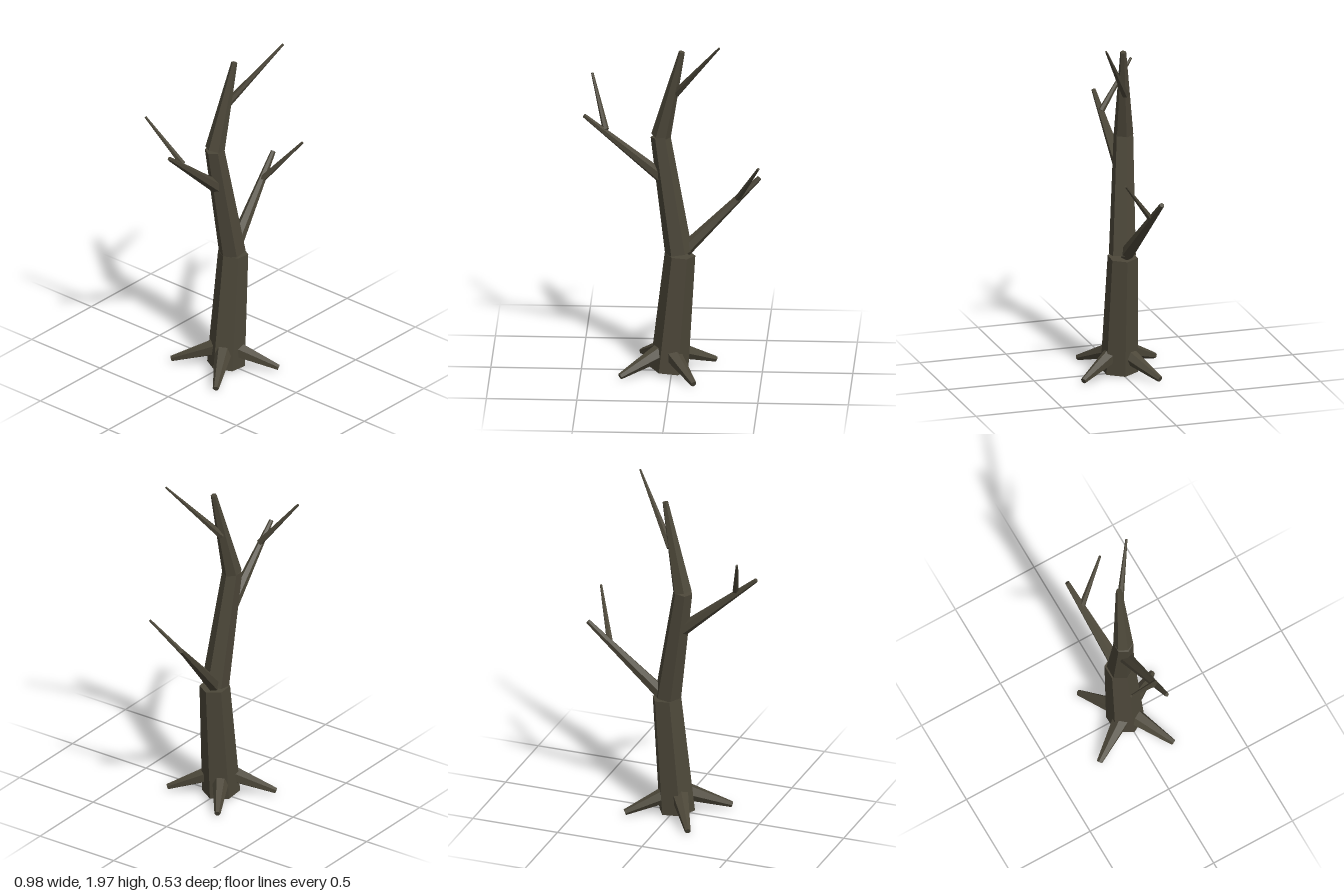
import * as THREE from 'three';

const UP = new THREE.Vector3(0, 1, 0);

export function createModel() {
  const tree = new THREE.Group();
  tree.name = 'bareTree';
  const bark = new THREE.MeshStandardMaterial({ color: 0x4c4739, flatShading: true });
  bark.name = 'darkBark';

  // Tapered six-sided limb running from one point to another
  function limb(name, from, to, r0, r1) {
    const a = new THREE.Vector3(...from);
    const dir = new THREE.Vector3(...to).sub(a);
    const length = dir.length();
    const geometry = new THREE.CylinderGeometry(r1, r0, length, 6);
    geometry.rotateY(Math.PI / 2); // corners point along x
    geometry.translate(0, length / 2, 0);
    const mesh = new THREE.Mesh(geometry, bark);
    mesh.name = name;
    mesh.position.copy(a);
    mesh.quaternion.setFromUnitVectors(UP, dir.normalize());
    tree.add(mesh);
  }

  // Trunk in three bent sections
  limb('lowerTrunk', [-0.015, 0.045, 0], [0.045, 0.72, 0], 0.106, 0.085);
  limb('middleTrunk', [0.038, 0.73, 0], [-0.065, 1.4, -0.04], 0.076, 0.055);
  limb('upperTrunk', [-0.062, 1.4, -0.04], [0.055, 1.91, 0], 0.055, 0.017);

  // Branches and the twigs that fork from them
  limb('rightBranch', [-0.06, 1.165, -0.03], [-0.485, 1.525, -0.003], 0.037, 0.012);
  limb('rightTwig', [-0.365, 1.44, -0.01], [-0.45, 1.7, -0.21], 0.018, 0.007);
  limb('leftBranch', [0.07, 0.74, -0.012], [0.48, 1.145, -0.086], 0.04, 0.014);
  limb('leftTwig', [0.36, 1.03, -0.06], [0.484, 1.275, 0.125], 0.018, 0.007);
  limb('topBranch', [0.015, 1.65, -0.025], [0.27, 1.997, 0.17], 0.023, 0.006);

  // Four roots spread evenly around the foot
  for (let i = 0; i < 4; i++) {
    const angle = Math.PI / 6 + 0.02 + (i * Math.PI) / 2;
    const c = Math.cos(angle), s = -Math.sin(angle);
    limb('root', [-0.022 + 0.05 * c, 0.15, 0.05 * s], [-0.022 + 0.3 * c, 0.051, 0.3 * s], 0.05, 0.017);
  }
  return tree;
}
